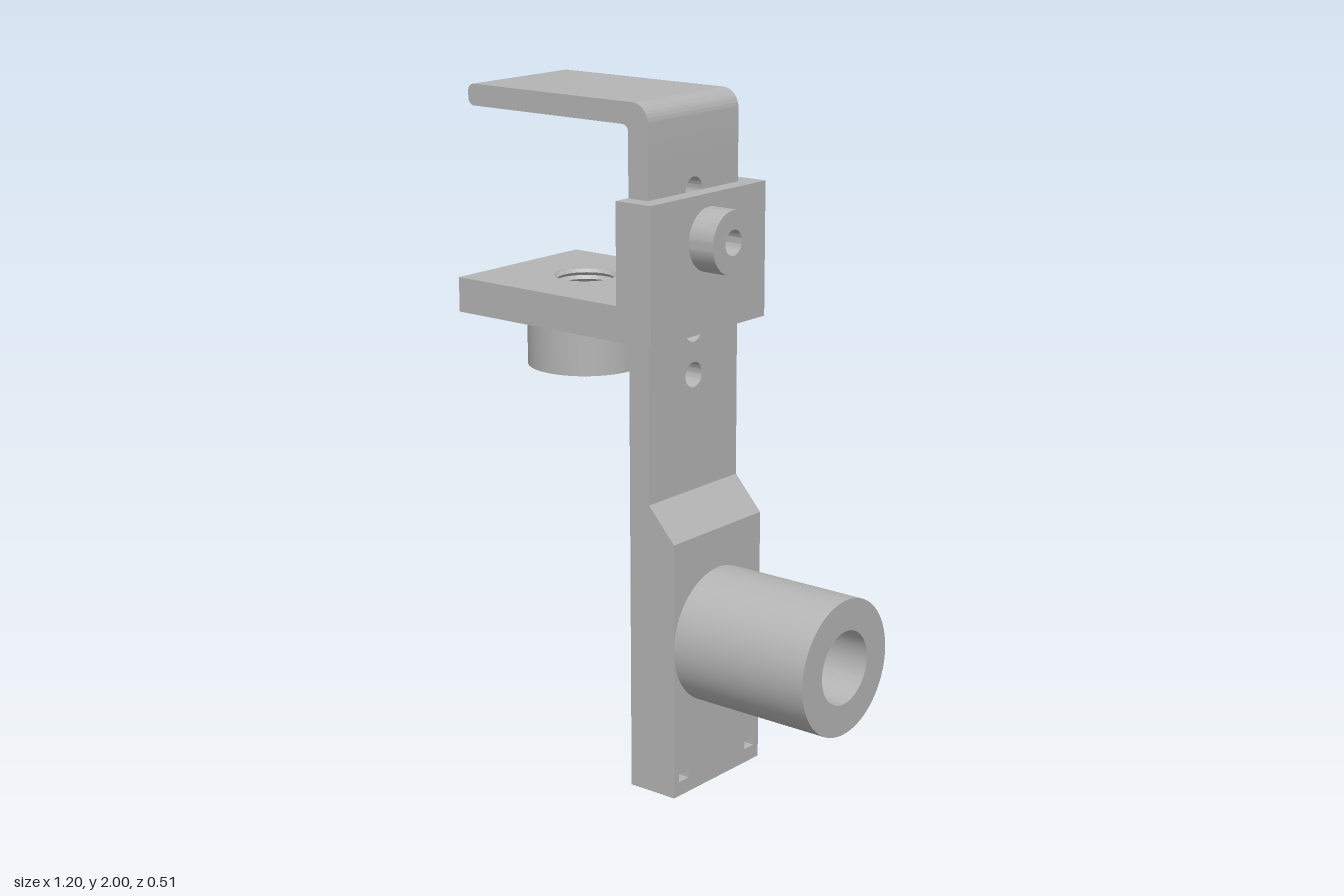
import * as THREE from 'three';
import { toCreasedNormals } from 'three/addons/utils/BufferGeometryUtils.js';

const BAR_BACK = -0.01, BAR_FRONT = 0.06, BLOCK_FRONT = 0.15;

export function createModel() {
  const model = new THREE.Group();
  model.name = 'clampBracket';
  const grey = new THREE.MeshStandardMaterial({ color: 0xb4b4b4 });
  grey.name = 'plain grey';

  function add(name, geometry, x = 0, y = 0, z = 0) {
    const mesh = new THREE.Mesh(toCreasedNormals(geometry, 0.6), grey);
    mesh.name = name;
    mesh.position.set(x, y, z);
    model.add(mesh);
    return mesh;
  }
  const extrude = (shape, depth) =>
    new THREE.ExtrudeGeometry(shape, { depth, bevelEnabled: false, curveSegments: 20 });
  // Plate drawn in (z, y), thickened along x
  const slabX = (shape, depth) => extrude(shape, depth).rotateY(Math.PI / 2);
  // Plate drawn in (x, z), thickened along y
  const slabY = (shape, depth) => extrude(shape, depth).rotateX(-Math.PI / 2);
  // Profile drawn in (x, y), thickened along z and centred
  const slabZ = (shape, depth) => extrude(shape, depth).translate(0, 0, -depth / 2);

  const polygon = (points) => new THREE.Shape(points.map(([x, y]) => new THREE.Vector2(x, y)));
  const rect = (x0, y0, x1, y1) => polygon([[x0, y0], [x1, y0], [x1, y1], [x0, y1]]);
  function circleHole(shape, x, y, r) {
    const path = new THREE.Path();
    path.absarc(x, y, r, 0, Math.PI * 2, true);
    shape.holes.push(path);
  }
  const lathe = (points) =>
    new THREE.LatheGeometry(points.map(([r, y]) => new THREE.Vector2(r, y)), 64);

  // Foot with the narrow slot in its underside
  const foot = rect(BAR_BACK, -0.2, BLOCK_FRONT, 0.2);
  foot.holes.push(rect(0.06, -0.13, 0.085, 0.13));
  add('foot', slabY(foot, 0.03));

  // Thick lower block with two small tie slots
  const block = rect(-0.2, 0.03, 0.2, 0.77);
  for (const s of [-1, 1]) {
    block.holes.push(rect(s * 0.155 - 0.022, 0.043, s * 0.155 + 0.022, 0.067));
  }
  add('lowerBlock', slabX(block, BLOCK_FRONT - BAR_BACK), BAR_BACK);

  // Sloped step from the block up to the bar
  add('slopedStep', slabZ(polygon([
    [BAR_BACK, 0.77], [BLOCK_FRONT, 0.77], [BAR_FRONT, 0.87], [BAR_BACK, 0.87],
  ]), 0.4));

  // Thin bar with its row of adjustment holes
  const bar = rect(-0.2, 0.87, 0.2, 1.85);
  for (let i = 0; i < 5; i++) circleHole(bar, 0, 1.21 + i * 0.1325, 0.037);
  add('bar', slabX(bar, BAR_FRONT - BAR_BACK), BAR_BACK);

  // Top arm with rounded bend and rounded tip
  const arm = new THREE.Shape();
  arm.moveTo(BAR_BACK, 1.85);
  arm.lineTo(BAR_FRONT, 1.85);
  arm.lineTo(BAR_FRONT, 1.945);
  arm.absarc(0.005, 1.945, 0.055, 0, Math.PI / 2, false);
  arm.lineTo(-0.585, 2);
  arm.absarc(-0.583, 1.978, 0.022, Math.PI / 2, Math.PI, false);
  arm.lineTo(-0.605, 1.96);
  arm.absarc(-0.583, 1.96, 0.022, Math.PI, Math.PI * 1.5, false);
  arm.lineTo(-0.03, 1.938);
  arm.absarc(-0.03, 1.918, 0.02, Math.PI / 2, 0, true);
  add('topArm', slabZ(arm, 0.4));

  // Hollow socket on the lower block, with a stepped bore
  add('socket', lathe([
    [0.2, 0], [0.2, 0.45], [0.108, 0.45], [0.108, 0.1], [0.072, 0.1], [0.072, 0.01], [0, 0.01],
  ]).rotateZ(-Math.PI / 2), BLOCK_FRONT, 0.453);

  // Sliding bracket: front plate, two side cheeks and the shelf
  const plate = rect(-0.257, 1.343, 0.257, 1.737);
  circleHole(plate, 0, 1.6075, 0.037);
  add('slidePlate', slabX(plate, 0.052), 0.063);
  for (const s of [-1, 1]) {
    add('slideCheek', new THREE.BoxGeometry(0.071, 0.394, 0.052), 0.0275, 1.54, s * 0.231);
  }
  const shelf = rect(-0.605, -0.257, -0.008, 0.257);
  circleHole(shelf, -0.342, 0, 0.092);
  add('shelf', slabY(shelf, 0.102), 0, 1.343);

  // Bored knob on the slide plate
  add('knob', lathe([
    [0.037, 0], [0.092, 0], [0.092, 0.085], [0.037, 0.085], [0.037, 0],
  ]).rotateZ(-Math.PI / 2), 0.115, 1.6075);

  // Boss under the shelf
  add('boss', lathe([
    [0.092, 0], [0.172, 0], [0.172, 0.16], [0.092, 0.16],
  ]), -0.342, 1.184);

  // Threaded bore through the boss and shelf
  const thread = [];
  for (let i = 0; i <= 26; i++) thread.push([i % 2 ? 0.082 : 0.092, 0.26 - i * 0.01]);
  add('threadedBore', lathe(thread), -0.342, 1.1845);

  return model;
}
